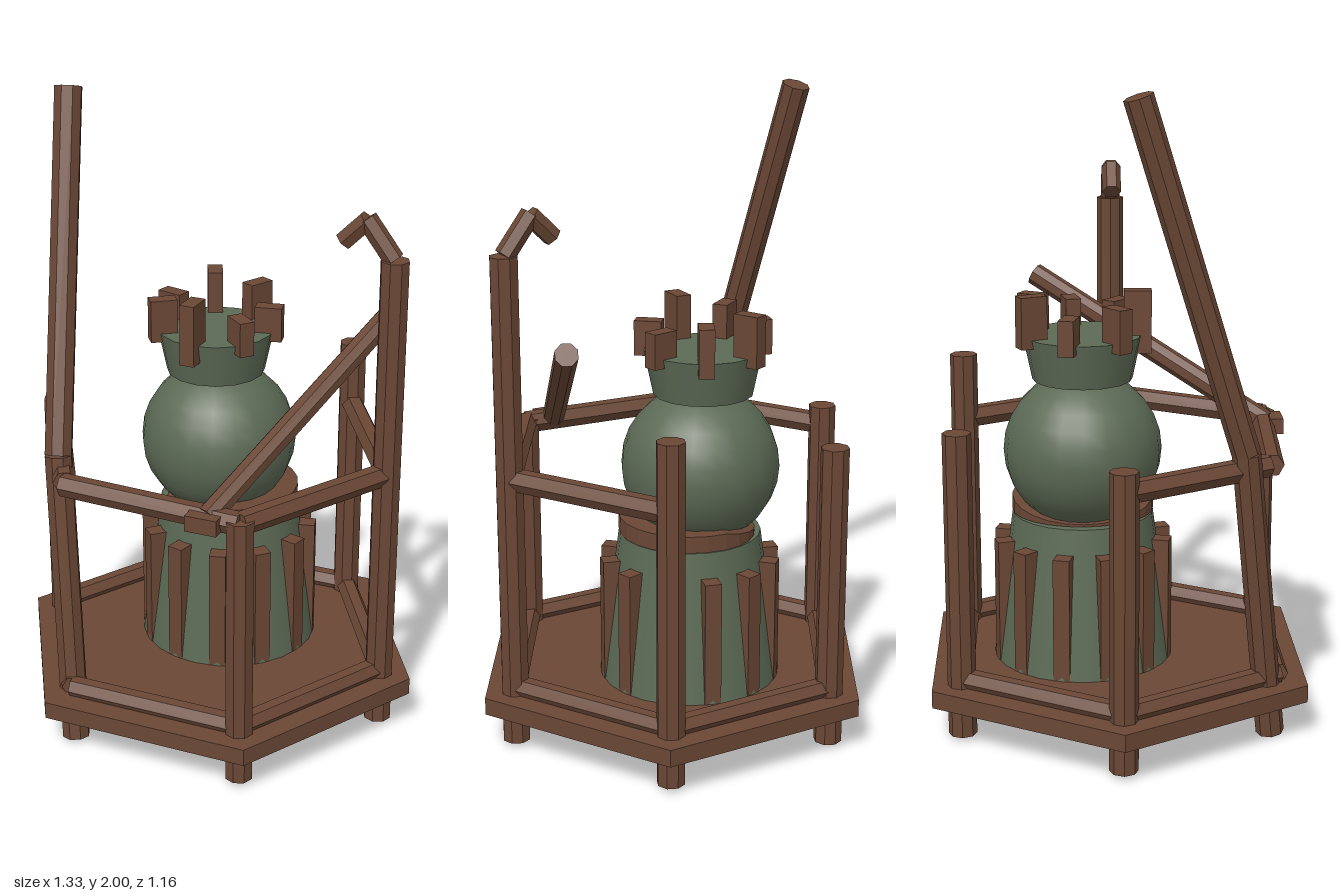
import * as THREE from 'three';

export function createModel() {
  const model = new THREE.Group();
  const wood = new THREE.MeshStandardMaterial({ color: 0x6a4735, flatShading: true });
  wood.name = 'brown wood';
  const stone = new THREE.MeshStandardMaterial({ color: 0x5c6a55 });
  stone.name = 'grey green stone';
  const V = (x, y, z) => new THREE.Vector3(x, y, z);

  function add(name, geometry, material, x = 0, y = 0, z = 0, turn = 0) {
    const mesh = new THREE.Mesh(geometry, material);
    mesh.name = name;
    mesh.position.set(x, y, z);
    mesh.rotation.y = turn;
    model.add(mesh);
    return mesh;
  }

  // Straight round timber between two points
  function beam(name, a, b, radius, sides = 8) {
    const dir = b.clone().sub(a);
    const mesh = add(name, new THREE.CylinderGeometry(radius, radius, dir.length(), sides), wood);
    mesh.position.copy(a).lerp(b, 0.5);
    mesh.quaternion.setFromUnitVectors(V(0, 1, 0), dir.normalize());
  }

  // Hexagonal deck
  add('deck', new THREE.CylinderGeometry(0.667, 0.667, 0.055, 6), wood, 0, 0.148, 0, Math.PI / 6);

  // Corner i sits at i * 60 degrees, from +x towards +z
  const corner = (i, y) => V(0.563 * Math.cos(i * Math.PI / 3), y, 0.563 * Math.sin(i * Math.PI / 3));

  // Upright posts; corner 2 holds the bent mast instead
  [1.56, 0.89, null, 0.94, 0.98, 1.09].forEach((top, i) => {
    if (top) beam('post', corner(i, 0.015), corner(i, top), 0.044);
  });

  // Bent mast
  const knee = V(-0.365, 0.93, 0.37);
  beam('mastLower', V(-0.285, 0.006, 0.468), knee, 0.044);
  beam('mastUpper', knee, V(-0.463, 1.985, 0.042), 0.044);

  // Low rails on all sides, hand rails on four
  for (let i = 0; i < 6; i++) beam('lowRail', corner(i, 0.195), corner(i + 1, 0.195), 0.034, 6);
  beam('handRail', corner(5, 0.877), corner(6, 0.877), 0.036, 6);
  beam('handRail', corner(0, 0.877), corner(1, 0.877), 0.036, 6);
  beam('handRail', corner(1, 0.877), V(-0.31, 0.877, 0.455), 0.036, 6);
  beam('handRail', V(-0.31, 0.877, 0.44), corner(3, 0.877), 0.036, 6);

  // Leaning boom with its foot block
  beam('boom', V(0.18, 0.88, 0.49), V(0.49, 1.315, -0.255), 0.036);
  add('boomFoot', new THREE.BoxGeometry(0.1, 0.05, 0.075), wood, 0.18, 0.875, 0.507);

  // Hook on the tallest post
  beam('hookArm', V(0.56, 1.56, 0), V(0.473, 1.675, 0), 0.031, 6);
  beam('hookTip', V(0.477, 1.672, 0), V(0.405, 1.6, 0), 0.031, 6);

  // Tower: tapered base, ball and flared collar
  const cz = -0.107;
  add('towerBase', new THREE.CylinderGeometry(0.222, 0.3, 0.59, 24), stone, 0, 0.355, cz);
  add('towerBall', new THREE.SphereGeometry(0.247, 20, 14), stone, -0.037, 0.86, cz);
  add('towerCollar', new THREE.CylinderGeometry(0.184, 0.155, 0.14, 16), stone, -0.047, 1.157, cz);

  // Band around the tower, thinning towards -x
  const band = new THREE.CylinderGeometry(0.223, 0.223, 0.052, 24);
  const p = band.attributes.position;
  for (let i = 0; i < p.count; i++) {
    const x = p.getX(i);
    if (x >= 0) continue;
    if (p.getY(i) > 0) p.setY(i, p.getY(i) + x * 0.2);
    p.setX(i, x * 0.88);
  }
  add('towerBand', band, wood, 0, 0.678, cz);

  // Upright staves around the base
  for (let i = 0; i < 12; i++) {
    const a = (15 + 30 * i) * Math.PI / 180;
    add('stave', new THREE.BoxGeometry(0.06, 0.4, 0.052), wood,
      0.253 * Math.cos(a), 0.37, cz + 0.253 * Math.sin(a), -a);
  }

  // Uneven battlements around the collar: [bottom, top]
  const teeth = [[1.2, 1.31], [1.2, 1.31], [1.17, 1.365], [1.2, 1.335], [1.2, 1.31], [1.2, 1.36], [1.19, 1.34]];
  teeth.forEach(([low, high], i) => {
    const a = (-11 + i * 360 / 7) * Math.PI / 180;
    add('battlement', new THREE.BoxGeometry(0.085, high - low, 0.048), wood,
      -0.047 + 0.17 * Math.cos(a), (low + high) / 2, cz + 0.17 * Math.sin(a), -a);
  });

  return model;
}
